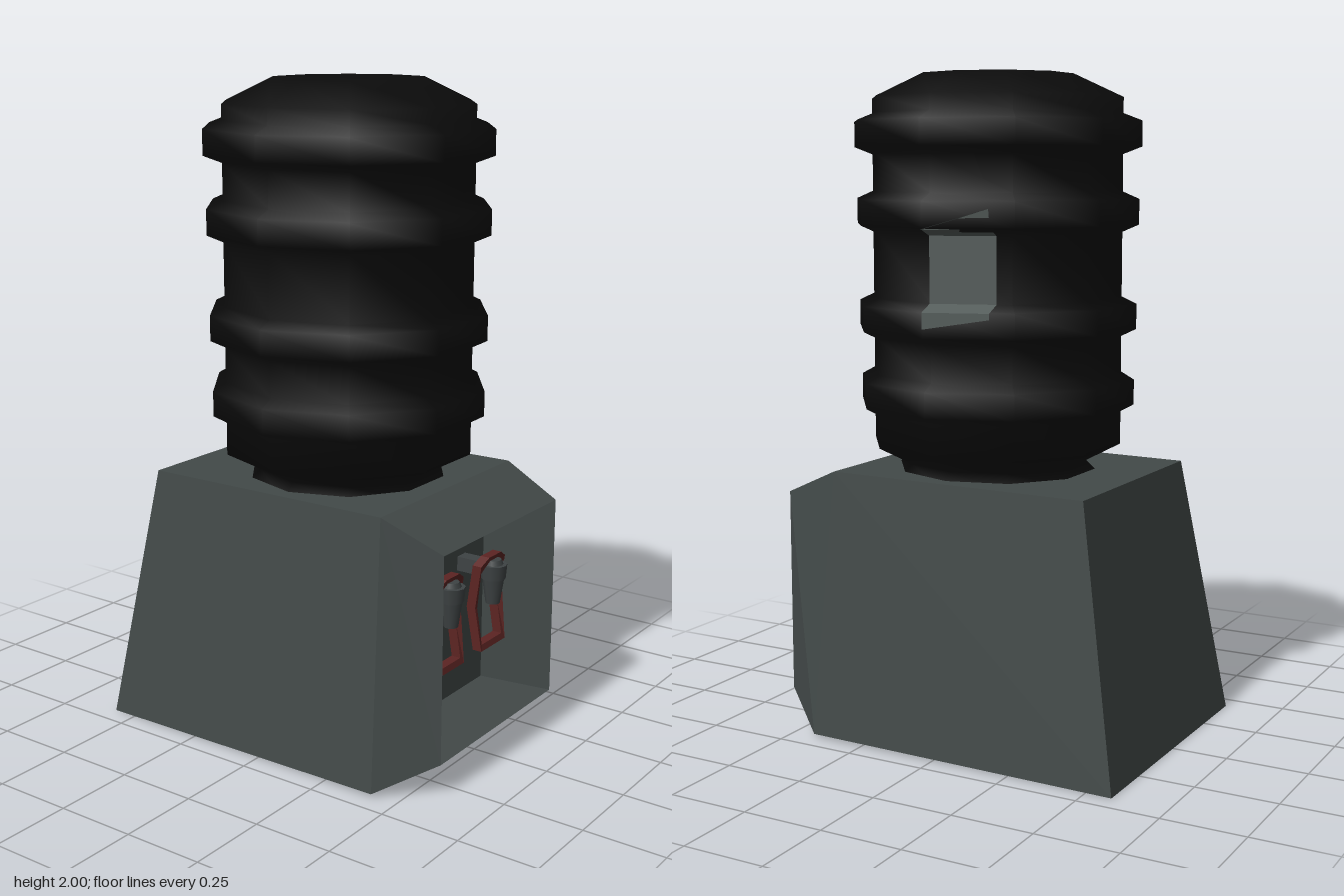
import * as THREE from 'three';

const mat = (name, color, side = THREE.FrontSide) => {
  const m = new THREE.MeshStandardMaterial({ color, side });
  m.name = name;
  return m;
};

// Flat-faced surface through rows of points; optionally closed round each row.
function loft(rows, closed, caps) {
  const pos = [];
  const quad = (a, b, c, d) => [a, b, c, a, c, d].forEach((p) => pos.push(...p));
  for (let r = 0; r < rows.length - 1; r++) {
    const P = rows[r], Q = rows[r + 1], n = P.length;
    for (let i = 0; i < (closed ? n : n - 1); i++) {
      const j = (i + 1) % n;
      quad(P[i], P[j], Q[j], Q[i]);
    }
  }
  if (caps) {
    quad(...[...rows[0]].reverse());
    quad(...rows[rows.length - 1]);
  }
  const g = new THREE.BufferGeometry();
  g.setAttribute('position', new THREE.Float32BufferAttribute(pos, 3));
  g.computeVertexNormals();
  return g;
}

export function createModel() {
  const root = new THREE.Group();
  const casing = mat('casing grey', 0x424948);
  const black = mat('bottle black', 0x0b0b0b);
  const labelGrey = mat('label grey', 0x555d5b, THREE.DoubleSide);
  const red = mat('lever red', 0x5c2422);
  const tapGrey = mat('tap grey', 0x3e4344);

  const add = (parent, name, geo, material, x = 0, y = 0, z = 0) => {
    const m = new THREE.Mesh(geo, material);
    m.name = name;
    m.position.set(x, y, z);
    parent.add(m);
    return m;
  };

  // Base: back, front shoulder, recess mouth and recess back
  const loop = (xb, yb, zb, xt, yt, zt) =>
    [[-xb, yb, zb], [xb, yb, zb], [xt, yt, zt], [-xt, yt, zt]];
  add(root, 'base', loft([
    loop(0.438, 0, -0.58, 0.352, 0.808, -0.445),
    loop(0.438, 0.01, 0.42, 0.355, 0.815, 0.39),
    loop(0.32, 0.1, 0.58, 0.32, 0.73, 0.58),
    loop(0.247, 0.12, 0.37, 0.247, 0.605, 0.37),
  ], true, true), casing);

  // Ribbed ten-sided bottle
  const profile = [[0.33, 0.79], [0.28, 0.835], [0.385, 0.89]];
  const ribs = [[1.05, 0.425], [1.28, 0.43], [1.593, 0.435], [1.823, 0.442]];
  for (const [y, r] of ribs) {
    profile.push([0.385, y - 0.06], [r, y - 0.038], [r, y + 0.038], [0.385, y + 0.06]);
  }
  profile.push([0.385, 1.93], [0.235, 2], [0, 2]);
  const bottleZ = 0.026;
  add(root, 'bottle', new THREE.LatheGeometry(
    profile.map(([r, y]) => new THREE.Vector2(r, y)), 10, Math.PI / 2), black, 0, 0, bottleZ);

  // Label wrapped over one side panel, following the ribs
  const strip = [[1.27, 1.3, 0.435], [1.318, 1.318, 0.435], [1.34, 1.34, 0.39],
    [1.533, 1.533, 0.39], [1.55, 1.555, 0.43], [1.552, 1.61, 0.439]];
  const slope = Math.tan(Math.PI / 10);
  add(root, 'label', loft(strip.map(([yf, yb, x]) =>
    [[x, yf, bottleZ], [x - 0.185 * slope, yb, bottleZ - 0.185]])), labelGrey);

  // Lever frame outline, bowed backwards at mid height
  const outline = (w, y0, y1, y2) => {
    const ym = (y0 + y1) / 2;
    return [[-w, y0], [w, y0], [w, ym], [w, y1], [w * 0.5, y2],
      [-w * 0.5, y2], [-w, y1], [-w, ym]].map(([x, y]) => new THREE.Vector2(x, y));
  };
  const frame = new THREE.Shape(outline(0.07, 0.3, 0.57, 0.592));
  frame.holes.push(new THREE.Path(outline(0.058, 0.318, 0.545, 0.572).reverse()));
  const frameGeo = new THREE.ExtrudeGeometry(frame, { depth: 0.03, bevelEnabled: false });
  const p = frameGeo.attributes.position;
  for (let i = 0; i < p.count; i++) {
    const t = (p.getY(i) - 0.445) / 0.145;
    p.setZ(i, p.getZ(i) + 0.025 * t * t);
  }
  frameGeo.computeVertexNormals();

  // Two taps: stub, collar, tapered spout and lever
  [-0.125, 0.115].forEach((x, i) => {
    const tap = new THREE.Group();
    tap.name = i ? 'leftTap' : 'rightTap';
    tap.position.x = x;
    root.add(tap);
    add(tap, 'tapStub', new THREE.BoxGeometry(0.045, 0.045, 0.11), tapGrey, 0, 0.545, 0.42);
    add(tap, 'tapCollar', new THREE.CylinderGeometry(0.042, 0.038, 0.045, 10), tapGrey, 0, 0.54, 0.485);
    add(tap, 'tapSpout', new THREE.CylinderGeometry(0.034, 0.022, 0.08, 10), tapGrey, 0, 0.478, 0.485);
    add(tap, 'tapCap', new THREE.CylinderGeometry(0.024, 0.03, 0.015, 10), tapGrey, 0, 0.57, 0.485);
    add(tap, 'lever', frameGeo, red, 0, 0, 0.435);
  });

  return root;
}
